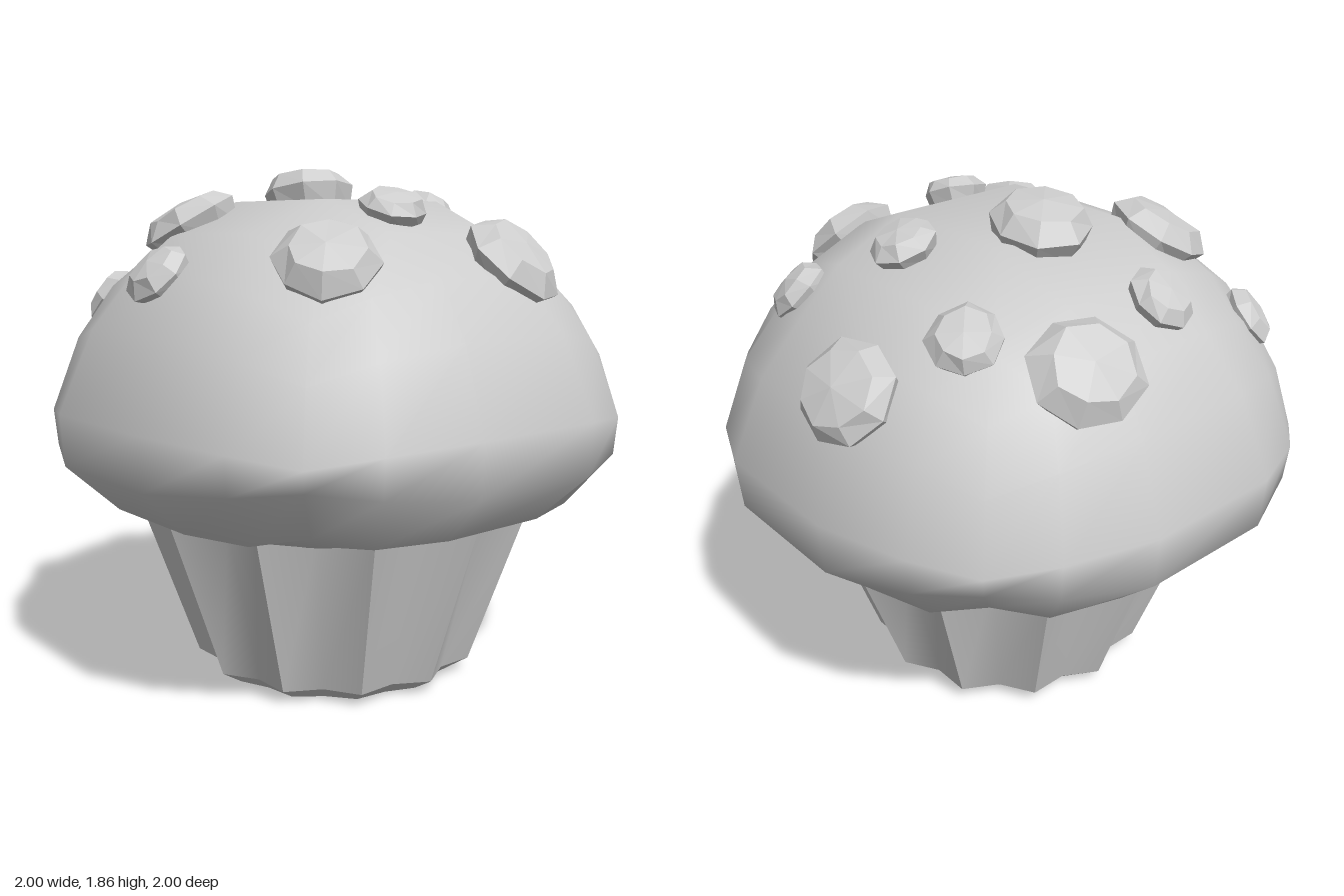
import * as THREE from 'three';
import { mergeVertices } from 'three/addons/utils/BufferGeometryUtils.js';

const grey = new THREE.MeshStandardMaterial({ color: 0xcccccc });
grey.name = 'plainGrey';

function addMesh(parent, name, geometry) {
  const mesh = new THREE.Mesh(geometry, grey);
  mesh.name = name;
  parent.add(mesh);
}

function weld(geometry) {
  geometry.deleteAttribute('uv');
  geometry.deleteAttribute('normal');
  return mergeVertices(geometry, 1e-4);
}

// Cake top: a cube grid blown up to a ball, with the underside flattened
function cakeTopGeometry() {
  const geo = weld(new THREE.BoxGeometry(2, 2, 2, 5, 5, 5));
  const pos = geo.attributes.position;
  const spread = (c) => Math.sign(c) * (Math.abs(c) < 0.4 ? 0.26 : Math.abs(c) < 0.8 ? 0.625 : 1);
  const v = new THREE.Vector3();
  for (let i = 0; i < pos.count; i++) {
    v.fromBufferAttribute(pos, i);
    const row = spread(v.y);
    const x = spread(v.x), z = spread(v.z);
    const corner = Math.abs(x) === 1 && Math.abs(z) === 1;
    v.set(x, row, z).setLength(1.065);
    let k = 1;
    if (row > 0) v.y = 0.77 + 0.97 * v.y;
    else if (row === -0.26) {
      k = 0.988;
      v.y = 0.84 + 0.7 * (v.y + 0.26);
    } else if (row === -0.625) {
      // the four diagonals are dented inwards
      k = corner ? 0.865 : 0.92;
      v.y = corner ? 0.7 : 0.67;
    } else {
      k = corner ? 0.91 : 0.95;
      v.y = Math.max(0.55, 0.63 + 0.35 * (Math.hypot(v.x, v.z) * k - 0.7));
    }
    pos.setXYZ(i, v.x * k, v.y, v.z * k);
  }
  geo.computeVertexNormals();
  return geo;
}

// One band of a pleat: ridge, valley, ridge; sharp at the ridges, soft in the valley
function pleatBand(low, high) {
  const pts = [];
  for (const [ridge, valley, y] of [low, high]) {
    for (let c = 0; c < 3; c++) {
      const a = (c * Math.PI) / 12, r = c === 1 ? valley : ridge;
      pts.push(r * Math.sin(a), y, r * Math.cos(a));
    }
  }
  const geo = new THREE.BufferGeometry();
  geo.setAttribute('position', new THREE.Float32BufferAttribute(pts, 3));
  geo.setIndex([0, 1, 4, 0, 4, 3, 1, 2, 5, 1, 5, 4]);
  geo.computeVertexNormals();
  return geo;
}

// Pleated paper cup of twelve folds
function paperCup() {
  const cup = new THREE.Group();
  cup.name = 'paperCup';
  const foot = [0.45, 0.42, 0], heel = [0.53, 0.475, 0.05], rim = [0.745, 0.635, 0.66];
  const wall = pleatBand(heel, rim);
  const edge = pleatBand(foot, heel);
  const base = pleatBand([0, 0, 0], foot);
  // the base faces down
  base.setIndex([0, 4, 3, 0, 5, 4]);
  base.computeVertexNormals();
  for (let i = 0; i < 12; i++) {
    const pleat = new THREE.Group();
    pleat.name = 'pleat';
    pleat.rotation.y = (i * Math.PI) / 6;
    addMesh(pleat, 'pleatWall', wall);
    addMesh(pleat, 'pleatFoot', edge);
    addMesh(pleat, 'cupBase', base);
    cup.add(pleat);
  }
  return cup;
}

// Faceted chip, slightly irregular
function chipGeometry(seed) {
  let s = seed * 7919 + 13;
  const rand = () => ((s = (s * 16807) % 2147483647) / 2147483647) - 0.5;
  const profile = [[0, -0.5], [0.8, -0.45], [1, 0.05], [0.7, 0.4], [0, 0.5]];
  let geo = weld(new THREE.LatheGeometry(profile.map(([r, y]) => new THREE.Vector2(r, y)), 8));
  const pos = geo.attributes.position;
  for (let i = 0; i < pos.count; i++) {
    const k = 1 + rand() * 0.14;
    pos.setXYZ(i, pos.getX(i) * k, pos.getY(i) + rand() * 0.08, pos.getZ(i) * k);
  }
  geo = geo.toNonIndexed();
  geo.computeVertexNormals();
  return geo;
}

export function createModel() {
  const model = new THREE.Group();
  model.name = 'muffin';
  addMesh(model, 'cakeTop', cakeTopGeometry());
  model.add(paperCup());

  // Chips: x, z, radius; each sits on the cake top and leans outwards
  const chips = [
    [0.05, -0.22, 0.18], [-0.43, -0.3, 0.18], [0.3, -0.7, 0.185], [0.82, -0.2, 0.18],
    [-0.47, 0.52, 0.175], [0.2, 0.68, 0.185], [-0.6, -0.6, 0.12], [-0.1, -0.63, 0.12],
    [0.53, -0.42, 0.125], [-0.75, -0.01, 0.12], [0.41, 0.05, 0.115], [-0.09, 0.41, 0.12],
    [0.63, 0.37, 0.12],
  ];
  const up = new THREE.Vector3(0, 1, 0);
  chips.forEach(([x, z, r], i) => {
    const h = Math.sqrt(1.13 - x * x - z * z);
    const chip = new THREE.Group();
    chip.name = 'chip';
    chip.position.set(x, 0.765 + 0.97 * h, z);
    chip.quaternion.setFromUnitVectors(up, new THREE.Vector3(x, h, z).normalize());
    chip.scale.set(r, r * 0.95, r);
    addMesh(chip, 'chipBody', chipGeometry(i + 1));
    model.add(chip);
  });
  return model;
}
